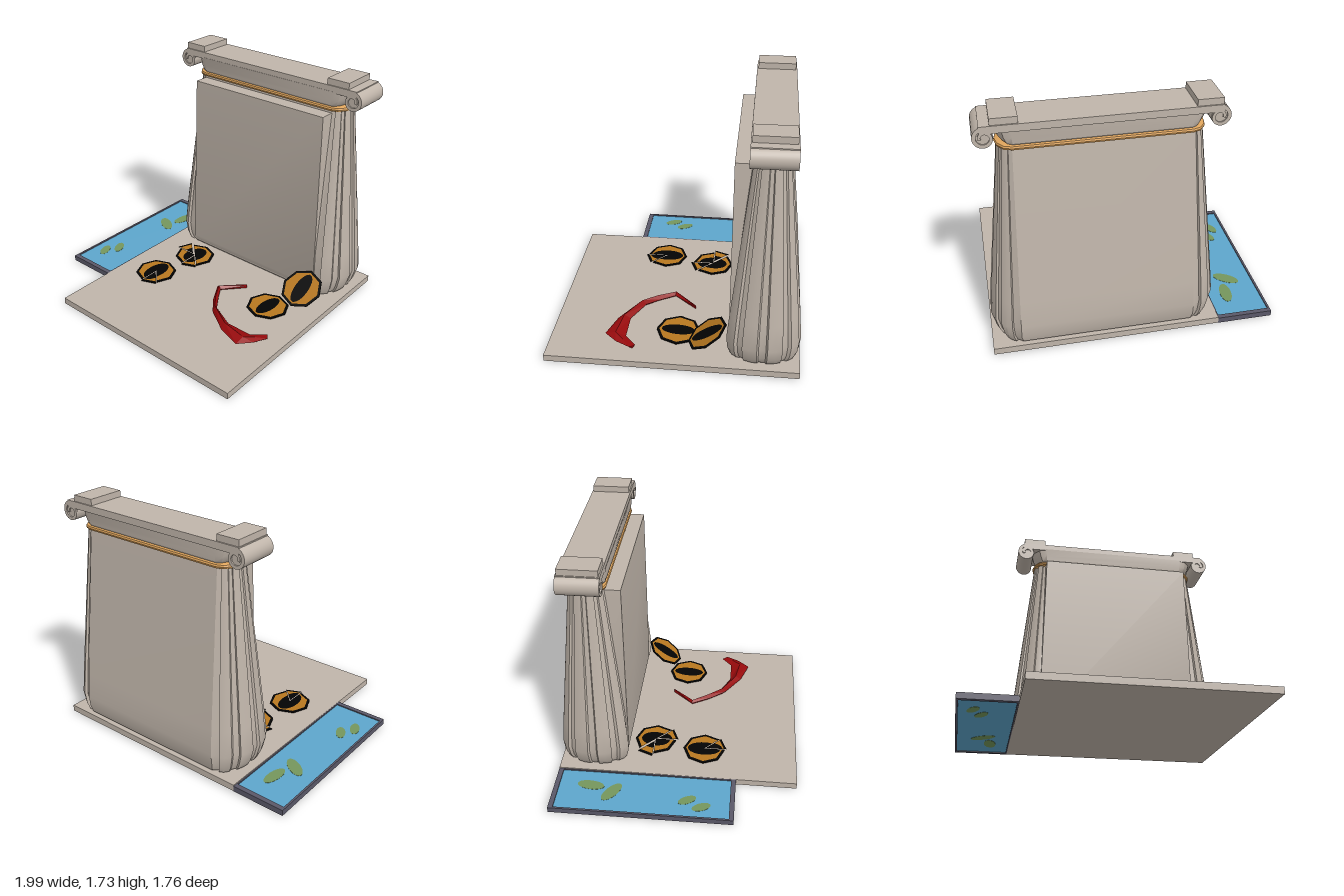
import * as THREE from 'three';
import { toCreasedNormals } from 'three/addons/utils/BufferGeometryUtils.js';

const mat = (name, color, side = THREE.FrontSide) => {
  const m = new THREE.MeshStandardMaterial({ color, side });
  m.name = name;
  return m;
};

const CX = 0.19, CZ = -0.62; // axis of the column
const V = (x, y, z) => new THREE.Vector3(x, y, z);

// Closed skin through rings of equal point count, with fan caps
function skin(rings, crease) {
  const n = rings[0].length, out = [];
  const tri = (...p) => p.forEach(v => out.push(v.x, v.y, v.z));
  for (let i = 0; i < rings.length - 1; i++) {
    for (let j = 0; j < n; j++) {
      const k = (j + 1) % n;
      const a = rings[i][j], b = rings[i][k], c = rings[i + 1][j], d = rings[i + 1][k];
      tri(a, c, b);
      tri(b, c, d);
    }
  }
  const mid = r => r.reduce((s, p) => s.add(p), V(0, 0, 0)).divideScalar(n);
  const first = rings[0], last = rings[rings.length - 1];
  const m0 = mid(first), m1 = mid(last);
  for (let j = 0; j < n; j++) {
    const k = (j + 1) % n;
    tri(m0, first[j], first[k]);
    tri(m1, last[k], last[j]);
  }
  const g = new THREE.BufferGeometry();
  g.setAttribute('position', new THREE.Float32BufferAttribute(out, 3));
  return toCreasedNormals(g, crease);
}

// End profile as [angle in degrees, scale]: plain, or four raised ribs
const plainEnd = [-90, -60, -30, 0, 30, 60, 90].map(a => [a, 1]);
const ribbedEnd = [[-90, 1],
  ...[-60, -20, 20, 60].flatMap(c => [[c - 14, 0.91], [c - 12, 1], [c, 1.01], [c + 12, 1], [c + 14, 0.91]]),
  [90, 1]];

// Stack of long plans: [y, half width, half depth, half straight length];
// maxFront limits the straight front
function stack(levels, end = plainEnd, maxFront = 1) {
  return skin(levels.map(([y, hx, hz, sx]) => {
    const ring = [];
    for (const s of [1, -1]) for (const [deg, f] of end) {
      const t = deg * Math.PI / 180;
      let z = s * hz * f * Math.sin(t);
      if (Math.abs(deg) === 90) z = Math.min(z, maxFront);
      ring.push(V(CX + s * (sx + (hx - sx) * f * Math.cos(t)), y, CZ + z));
    }
    return ring;
  }), 0.45);
}

export function createModel() {
  const model = new THREE.Group();
  model.name = 'ruinedColumn';
  const stone = mat('stone', 0xc0b5aa), gold = mat('gold band', 0xdea45c);
  const frame = mat('dark frame', 0x5a5868), water = mat('water blue', 0x5da6cc);
  const moss = mat('moss green', 0x75965c), red = mat('red', 0x980a0c);
  const amber = mat('amber', 0xb87820, THREE.DoubleSide);
  const black = mat('black', 0x040404, THREE.DoubleSide);

  const add = (name, geometry, material, parent = model) => {
    const mesh = new THREE.Mesh(geometry, material);
    mesh.name = name;
    parent.add(mesh);
    return mesh;
  };
  // Box given by its limits
  const box = (name, material, x0, x1, y0, y1, z0, z1) => {
    const mesh = add(name, new THREE.BoxGeometry(x1 - x0, y1 - y0, z1 - z0), material);
    mesh.position.set((x0 + x1) / 2, (y0 + y1) / 2, (z0 + z1) / 2);
    return mesh;
  };

  // Floor, barely tilted, and framed pool
  box('floorSlab', stone, -0.603, 0.985, 0.005, 0.053, -0.88, 0.88).rotation.x = 0.005;
  box('poolWater', water, -0.985, -0.605, 0.015, 0.042, -0.85, 0.41);
  box('poolFrameLeft', frame, -1, -0.985, 0.008, 0.05, -0.88, 0.435);
  box('poolFrameRight', frame, -0.612, -0.603, 0.008, 0.05, -0.88, 0.435);
  box('poolFrameBack', frame, -0.985, -0.612, 0.008, 0.05, -0.88, -0.845);
  box('poolFrameFront', frame, -0.985, -0.612, 0.008, 0.05, 0.4, 0.435);
  for (const [x, z, rx, rz, turn] of [
    [-0.745, -0.615, 0.043, 0.1, -0.1], [-0.8, -0.455, 0.1, 0.045, -0.6],
    [-0.83, 0.095, 0.035, 0.07, 0.5], [-0.887, 0.2, 0.035, 0.07, 0.4]
  ]) for (const y of [0.042, 0.015]) {
    const patch = add('mossPatch', new THREE.CylinderGeometry(1, 1, 0.003, 20), moss);
    patch.scale.set(rx, 1, rz);
    patch.rotation.y = turn;
    patch.position.set(x, y, z);
  }

  // Shaft with ribbed ends
  add('shaft', stack([
    [0.045, 0.71, 0.2, 0.58], [0.07, 0.74, 0.235, 0.59], [0.12, 0.765, 0.25, 0.6],
    [0.21, 0.79, 0.259, 0.6], [0.4, 0.772, 0.242, 0.595], [1.51, 0.655, 0.122, 0.565]
  ], ribbedEnd, 0.222), stone);

  // Upright front panel, slightly narrower at the top
  add('frontPanel', skin([
    [0.57, 0.055, -0.42], [0.58, 0.075, -0.4], [0.592, 0.12, -0.386], [0.57, 1.49, -0.388]
  ].map(([h, y, z]) => [V(CX + h, y, CZ), V(CX + h, y, z), V(CX - h, y, z), V(CX - h, y, CZ)]), 0.42), stone);

  // Neck band and flare
  add('neckBand', stack([
    [1.5, 0.645, 0.118, 0.565], [1.508, 0.665, 0.136, 0.565], [1.52, 0.67, 0.14, 0.565],
    [1.532, 0.665, 0.136, 0.565], [1.54, 0.645, 0.118, 0.565]
  ]), gold);
  add('flare', stack([
    [1.53, 0.61, 0.118, 0.56], [1.55, 0.632, 0.133, 0.56],
    [1.59, 0.66, 0.138, 0.565], [1.65, 0.68, 0.14, 0.57]
  ]), stone);

  // Capital beam with a scroll and a block at each end
  const z0 = -0.77, depth = 0.288, zMid = z0 + depth / 2;
  box('capitalBeam', stone, CX - 0.755, CX + 0.755, 1.64, 1.69, z0, z0 + depth);
  for (const s of [1, -1]) {
    const outer = [], inner = [], steps = 36;
    for (let i = 0; i <= steps; i++) {
      const t = i / steps, a = Math.PI / 2 - t * Math.PI * 2.6, r = 0.08 - 0.045 * t;
      const at = q => new THREE.Vector2(CX + s * (0.728 + q * Math.cos(a)), 1.61 + q * Math.sin(a));
      outer.push(at(r));
      inner.unshift(at(r - 0.026 + 0.008 * t));
    }
    const spiral = new THREE.ExtrudeGeometry(new THREE.Shape([...outer, ...inner]), { depth, bevelEnabled: false });
    add('scroll', toCreasedNormals(spiral, 0.6), stone).position.z = z0;
    const core = add('scrollCore', new THREE.CylinderGeometry(0.056, 0.056, depth - 0.02, 24), stone);
    core.rotation.x = Math.PI / 2;
    core.position.set(CX + s * 0.728, 1.61, zMid);
    const bx = 0.16 + s * 0.635;
    box('topBlock', stone, bx - 0.085, bx + 0.085, 1.69, 1.735, zMid - 0.135, zMid + 0.135);
  }

  // Eight-sided eye made of thin wedges; shards are [first, last, shiftX, shiftZ]
  const N = 32;
  function eye(name, x, y, z, slitX, slitZ, turn, tilt, shards = []) {
    const pupil = [], iris = [], rim = [];
    for (let i = 0; i < N; i++) {
      const shard = shards.find(([a, b]) => i >= a && i < b) || [0, 0, 0, 0];
      const point = (k, r, h = 0) => {
        const a = k / N * Math.PI * 2, c = Math.cos(a - turn), d = Math.sin(a - turn);
        const wide = Math.cos(Math.PI / 8) / Math.cos(a % (Math.PI / 4) - Math.PI / 8);
        const q = r === 0 ? 1 / Math.hypot(c / slitX, d / slitZ) : r * wide;
        return [q * Math.cos(a) + shard[2], h, q * Math.sin(a) + shard[3]];
      };
      const quad = (list, r0, r1, h = 0) => {
        const a = point(i, r0), b = point(i + 1, r0), c = point(i, r1, h), d = point(i + 1, r1, h);
        list.push(...a, ...b, ...c, ...b, ...d, ...c);
      };
      pupil.push(shard[2], 0, shard[3], ...point(i + 1, 0), ...point(i, 0));
      quad(iris, 0, 0.138);
      quad(rim, 0.138, 0.157);
      quad(rim, 0.157, 0.157, -0.008);
    }
    const g = new THREE.Group();
    g.name = name;
    for (const [part, list, m] of [['pupil', pupil, black], ['iris', iris, amber], ['rim', rim, black]]) {
      const geo = new THREE.BufferGeometry();
      geo.setAttribute('position', new THREE.Float32BufferAttribute(list, 3));
      geo.computeVertexNormals();
      add(part, geo, m, g);
    }
    g.position.set(x, y, z);
    g.rotation.x = tilt;
    model.add(g);
  }
  eye('brokenEye', -0.24, 0.071, -0.2, 0.075, 0.11, 0.1, 0, [[16, 20, -0.028, -0.006], [4, 8, 0.008, 0.018]]);
  eye('crackedEye', -0.315, 0.071, 0.18, 0.068, 0.125, 0, 0, [[4, 8, 0.006, 0.014]]);
  eye('flatEye', 0.634, 0.073, -0.02, 0.053, 0.122, 0.06, 0);
  eye('leaningEye', 0.78, 0.181, -0.236, 0.055, 0.125, 0.05, 0.57);

  // Faceted crescent mouth: [outer x, outer z, inner x, inner z, ridge y]
  const mouth = [
    [0.36, -0.115, 0.365, -0.12, 0.09], [0.2, 0.04, 0.24, 0.05, 0.1], [0.29, 0.2, 0.295, 0.14, 0.11],
    [0.38, 0.31, 0.37, 0.25, 0.115], [0.56, 0.43, 0.55, 0.34, 0.11], [0.74, 0.49, 0.75, 0.34, 0.1],
    [0.82, 0.4, 0.795, 0.3, 0.09], [0.87, 0.3, 0.84, 0.26, 0.075]
  ].map(([ox, oz, ix, iz, h]) => {
    const mx = (ox + ix) / 2, mz = (oz + iz) / 2;
    return [V(ox, 0.08, oz), V(mx, h, mz), V(ix, 0.076, iz), V(mx, 0.058, mz)];
  });
  add('mouth', skin(mouth, 0.05), red);

  return model;
}
